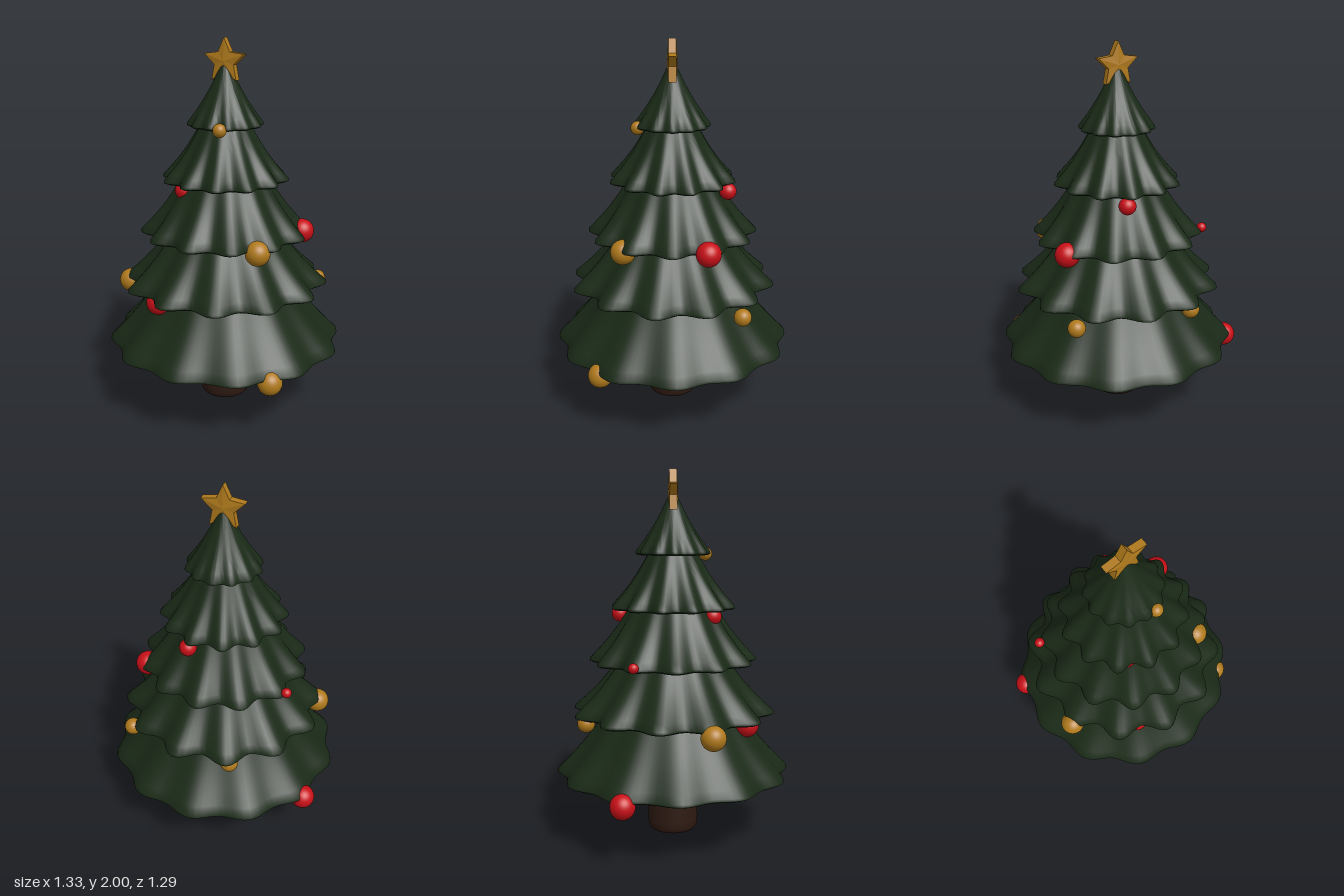
import * as THREE from 'three';
import { toCreasedNormals } from 'three/addons/utils/BufferGeometryUtils.js';

const CX = 0.015; // axis of the tree

const paint = (color, extra = {}) => new THREE.MeshStandardMaterial({ color, ...extra });
const green = paint(0x1a2a17);
const bark = paint(0x2e1a12);
const gold = paint(0xb07a1c);
const goldFlat = paint(0xb07a1c, { flatShading: true });
const red = paint(0xc81018);

function add(group, name, geometry, material, x = CX, y = 0, z = 0) {
  const mesh = new THREE.Mesh(geometry, material);
  mesh.name = name;
  mesh.position.set(x, y, z);
  group.add(mesh);
  return mesh;
}

// Skirt of branches: a lathed cone whose hem is pushed into twelve scallops
function tierGeometry({ y0, y1, rim, top, wave, phase }) {
  const points = [
    [0, y0], [rim * 0.5, y0], [rim - 0.015, y0], [rim, y0 + 0.008], [rim - 0.002, y0 + 0.022],
  ].map(([r, y]) => new THREE.Vector2(r, y));
  const steps = 9;
  for (let i = 1; i <= steps; i++) {
    const t = i / steps;
    const sag = 0.06 * (rim - top) * Math.sin(Math.PI * t);
    points.push(new THREE.Vector2(
      THREE.MathUtils.lerp(rim - 0.002, top, t) - sag,
      THREE.MathUtils.lerp(y0 + 0.022, y1, t)));
  }
  const geometry = new THREE.LatheGeometry(points, 120);
  const p = geometry.attributes.position;
  for (let i = 0; i < p.count; i++) {
    const x = p.getX(i), z = p.getZ(i);
    const angle = Math.atan2(z, x) - THREE.MathUtils.degToRad(phase);
    const weight = (Math.hypot(x, z) / rim) ** 2;
    const scale = 1 + (wave / rim) * weight * Math.cos(12 * angle);
    p.setX(i, x * scale);
    p.setZ(i, z * scale);
  }
  return toCreasedNormals(geometry, 0.9);
}

// Five-pointed star with thick edges and a slight ridge on both faces
function starGeometry(outer, inner, edge, peak) {
  const ring = [];
  for (let i = 0; i < 10; i++) {
    const a = Math.PI / 2 + (i * Math.PI) / 5;
    const r = i % 2 ? inner : outer;
    ring.push([r * Math.cos(a), r * Math.sin(a)]);
  }
  const v = [];
  for (let i = 0; i < 10; i++) {
    const a = ring[i], b = ring[(i + 1) % 10];
    v.push(0, 0, peak, ...a, edge, ...b, edge);
    v.push(0, 0, -peak, ...b, -edge, ...a, -edge);
    v.push(...a, edge, ...a, -edge, ...b, -edge);
    v.push(...a, edge, ...b, -edge, ...b, edge);
  }
  const geometry = new THREE.BufferGeometry();
  geometry.setAttribute('position', new THREE.Float32BufferAttribute(v, 3));
  geometry.computeVertexNormals();
  return geometry;
}

export function createModel() {
  const tree = new THREE.Group();
  tree.name = 'decoratedTree';

  // Trunk with a rounded foot
  const trunk = [
    [0, 0], [0.1, 0.003], [0.125, 0.012], [0.137, 0.032], [0.14, 0.07], [0.135, 0.2], [0.133, 0.36],
  ].map(([r, y]) => new THREE.Vector2(r, y));
  add(tree, 'trunk', new THREE.LatheGeometry(trunk, 48), bark);

  // Branch tiers, from the ground up
  [
    { y0: 0.345, y1: 0.69, rim: 0.625, top: 0.37, wave: 0.02, phase: 3.5 },
    { y0: 0.68, y1: 0.975, rim: 0.525, top: 0.3, wave: 0.036, phase: 15 },
    { y0: 0.965, y1: 1.265, rim: 0.43, top: 0.235, wave: 0.03, phase: 5 },
    { y0: 1.255, y1: 1.555, rim: 0.317, top: 0.135, wave: 0.025, phase: 18 },
    { y0: 1.545, y1: 1.87, rim: 0.193, top: 0.02, wave: 0.01, phase: 5 },
  ].forEach((tier, i) => add(tree, `branchTier${i + 1}`, tierGeometry(tier), green));

  // Star on the tip, turned a little about the vertical
  const star = add(tree, 'star', starGeometry(0.119, 0.058, 0.02, 0.028), goldFlat, CX, 1.881, 0);
  star.rotation.y = 0.44;

  // Baubles: x, y, z, radius
  const baubles = (name, material, list) => list.forEach(([x, y, z, r], i) =>
    add(tree, `${name}${i + 1}`, new THREE.SphereGeometry(r, 32, 20), material, x, y, z));
  baubles('redBauble', red, [
    [-0.602, 0.33, -0.01, 0.065],
    [-0.005, 0.648, 0.435, 0.065],
    [-0.45, 0.995, -0.018, 0.027],
    [-0.025, 1.225, 0.245, 0.048],
    [-0.025, 1.22, -0.305, 0.045],
    [0.282, 0.97, -0.325, 0.065],
  ]);
  baubles('goldBauble', gold, [
    [0.57, 0.325, 0.155, 0.065],
    [-0.365, 0.658, 0.378, 0.065],
    [0.4, 0.957, 0.1, 0.065],
    [0.142, 1.55, 0.14, 0.036],
    [0.24, 0.642, -0.5, 0.046],
    [-0.355, 0.66, -0.345, 0.047],
  ]);
  return tree;
}
